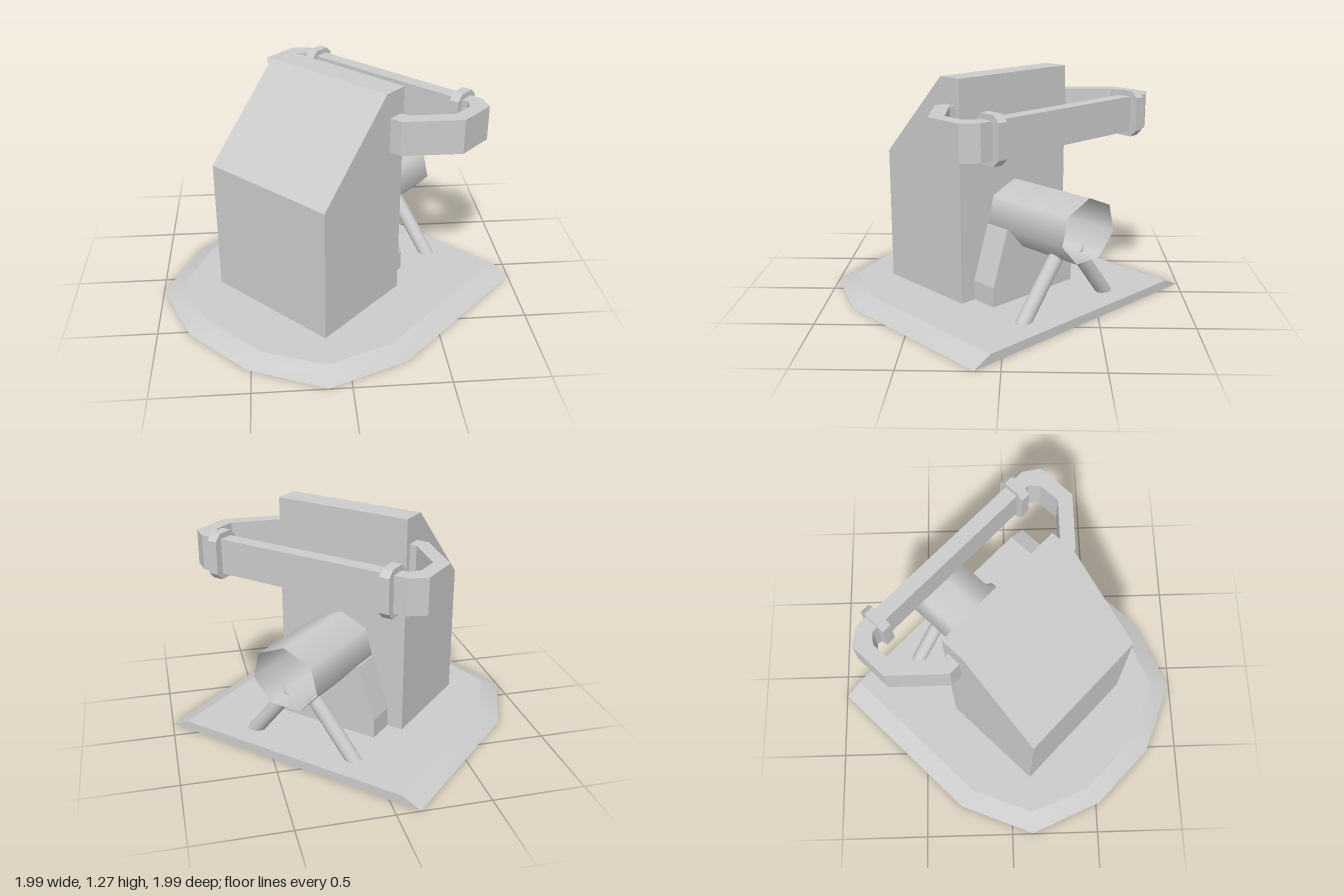
import * as THREE from 'three';

const grey = new THREE.MeshStandardMaterial({ color: 0xcccccc, side: THREE.DoubleSide });
const flat = new THREE.MeshStandardMaterial({ color: 0xcccccc, flatShading: true });

const shapeOf = pts => new THREE.Shape(pts.map(([x, y]) => new THREE.Vector2(x, y)));
const extrude = (pts, depth) =>
  new THREE.ExtrudeGeometry(shapeOf(pts), { depth, bevelEnabled: false });

// Profile given as [z, y], extruded across x and centred on x
const acrossX = (pts, width, x = 0) =>
  extrude(pts, width).translate(0, 0, -width / 2).rotateY(-Math.PI / 2).translate(x, 0, 0);

// Plan outline given as [x, z], raised from y0 by height
const fromPlan = (pts, y0, height) =>
  extrude(pts.map(([x, z]) => [x, -z]), height).rotateX(-Math.PI / 2).translate(0, y0, 0);

// Half outline followed by its mirror image in x
const mirrored = half => [...half, ...half.slice().reverse().map(([x, z]) => [-x, z])];

function createBase() {
  const group = new THREE.Group();
  group.name = 'base';
  const low = mirrored([[0.795, -0.615], [0.795, 0.375], [0.62, 0.79], [0.215, 0.955]]);
  const high = mirrored([[0.686, -0.615], [0.686, 0.36], [0.54, 0.705], [0.21, 0.85]]);
  const h = 0.05;

  const top = new THREE.ShapeGeometry(shapeOf(high.map(([x, z]) => [x, -z])))
    .rotateX(-Math.PI / 2).translate(0, h, 0);

  // Sloping rim, open along the straight back edge
  const pos = [], index = [];
  low.forEach(([x, z], i) => pos.push(x, 0, z, high[i][0], h, high[i][1]));
  for (let i = 0; i < low.length - 1; i++) {
    const a = i * 2;
    index.push(a, a + 1, a + 2, a + 1, a + 3, a + 2);
  }
  const rim = new THREE.BufferGeometry();
  rim.setAttribute('position', new THREE.Float32BufferAttribute(pos, 3));
  rim.setIndex(index);
  rim.computeVertexNormals();

  const back = new THREE.ShapeGeometry(shapeOf([[-0.795, 0], [0.795, 0], [0.686, h], [-0.686, h]]))
    .rotateY(Math.PI).translate(0, 0, -0.615);

  for (const [name, geo] of [['baseTop', top], ['baseRim', rim], ['baseBack', back]]) {
    const mesh = new THREE.Mesh(geo, grey);
    mesh.name = name;
    group.add(mesh);
  }
  return group;
}

export function createModel() {
  const model = new THREE.Group();
  model.name = 'model';
  const body = new THREE.Group();
  body.name = 'body';
  body.rotation.y = -Math.PI / 4; // the whole machine stands turned on its axis
  model.add(body);

  const add = (name, geo, mat = flat) => {
    const mesh = new THREE.Mesh(geo, mat);
    mesh.name = name;
    body.add(mesh);
    return mesh;
  };

  body.add(createBase());

  // Housing with sloped front
  add('housing', acrossX([[-0.064, 0.05], [0.555, 0.05], [0.555, 0.8], [0.08, 1.27], [-0.064, 1.27]], 0.79));

  // Tapered pedestal under the barrel
  add('pedestal', extrude([[-0.304, 0.05], [0.304, 0.05], [0.304, 0.16], [0.205, 0.46],
    [-0.205, 0.46], [-0.304, 0.16]], 0.156).translate(0, 0, -0.22));

  // Open seven-sided barrel
  add('barrel', new THREE.CylinderGeometry(1, 1, 0.549, 7, 1, true)
    .rotateX(-Math.PI / 2).scale(0.203, 0.177, 1).translate(0, 0.504, -0.3385), grey);

  // Wrap-around rail fixed to both sides of the housing
  const outer = [[0.385, 0.046], [0.463, 0.046], [0.693, -0.184], [0.693, -0.41], [0.61, -0.47]];
  const inner = [[0.57, -0.39], [0.615, -0.34], [0.615, -0.216], [0.434, -0.035], [0.385, -0.035]];
  const mirror = pts => pts.slice().reverse().map(([x, z]) => [-x, z]);
  add('rail', fromPlan([...outer, ...mirror(outer), ...mirror(inner), ...inner], 0.94, 0.19));

  for (const side of [-1, 1]) {
    // Octagonal clamp around the rail
    const [zc, yc, hz, hy, c] = [-0.432, 1.035, 0.08, 0.125, 0.035];
    add('railClamp', acrossX([[hz, c - hy], [hz, hy - c], [hz - c, hy], [c - hz, hy], [-hz, hy - c],
      [-hz, c - hy], [c - hz, -hy], [hz - c, -hy]].map(([z, y]) => [zc + z, yc + y]), 0.055, side * 0.51));

    // Splayed leg carrying the barrel
    const foot = new THREE.Vector3(side * 0.33, 0.03, -0.46);
    const head = new THREE.Vector3(side * 0.07, 0.355, -0.46);
    const dir = head.clone().sub(foot);
    const leg = add('leg', new THREE.CylinderGeometry(0.041, 0.041, dir.length(), 12), grey);
    leg.position.copy(foot).add(head).multiplyScalar(0.5);
    leg.quaternion.setFromUnitVectors(new THREE.Vector3(0, 1, 0), dir.normalize());
  }
  return model;
}
